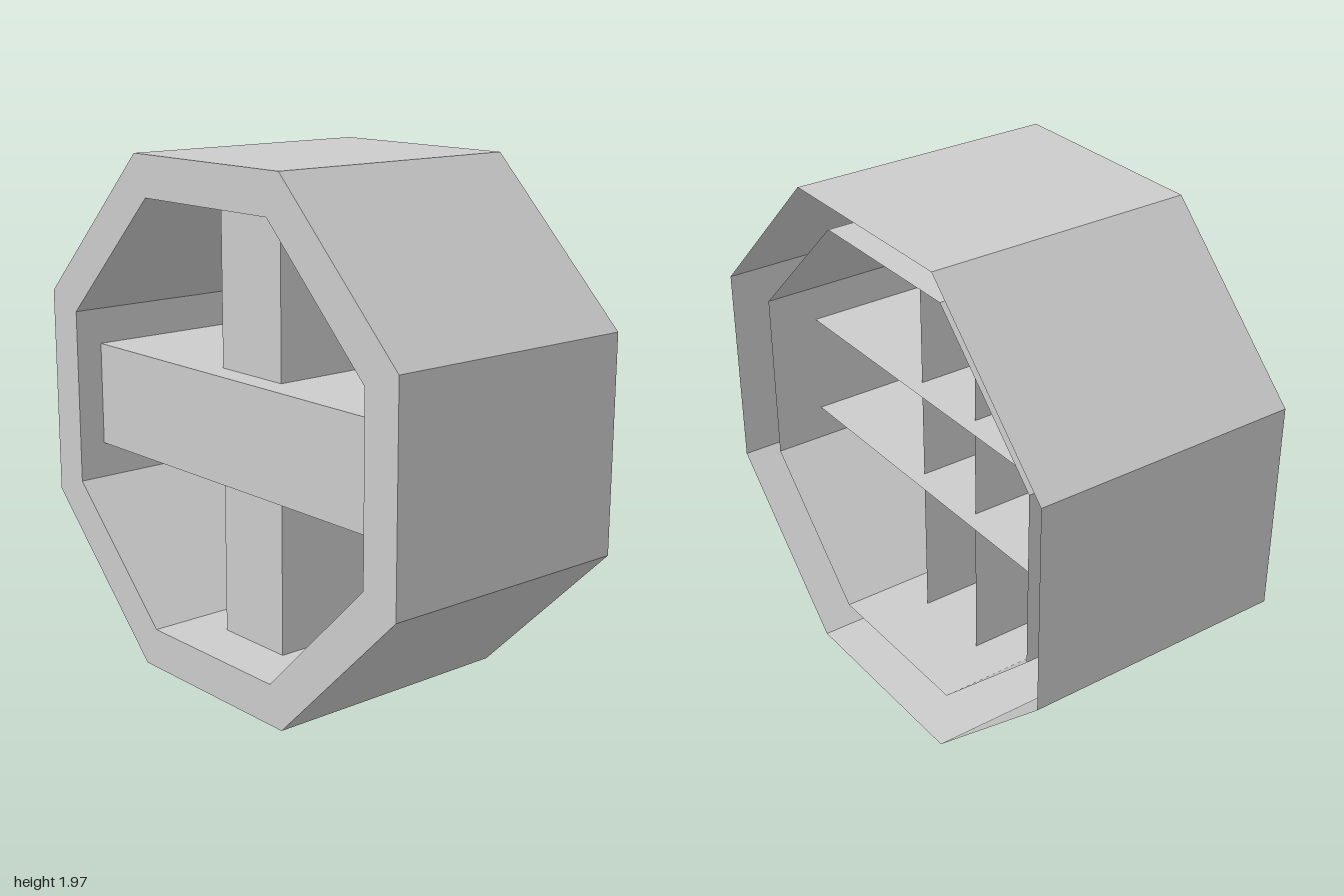
import * as THREE from 'three';

const OUTER = 0.983, INNER = 0.827;   // distance from axis to the flats
const FRONT = 0.513, BACK = -0.513, INNER_BACK = -0.44;

export function createModel() {
  const model = new THREE.Group();
  const material = new THREE.MeshStandardMaterial({
    color: 0xcccccc, flatShading: true, side: THREE.DoubleSide,
  });
  // Slight skew of the whole body in plan, lifted onto the ground
  const skew = new THREE.Matrix4().set(
    1, 0, -0.035, 0,
    0, 1, 0, OUTER,
    0.017, 0, 1, 0,
    0, 0, 0, 1,
  );
  const add = (name, geometry) => {
    geometry.applyMatrix4(skew);
    geometry.computeVertexNormals();
    const mesh = new THREE.Mesh(geometry, material);
    mesh.name = name;
    model.add(mesh);
  };

  const radius = (apothem) => apothem / Math.cos(Math.PI / 8);
  const octagon = (apothem) => Array.from({ length: 8 }, (_, i) => {
    const a = (i + 0.5) * Math.PI / 4;
    return new THREE.Vector2(Math.cos(a), Math.sin(a)).multiplyScalar(radius(apothem));
  });

  // Open octagonal tube along z
  const tube = (apothem, z0, z1) => {
    const r = radius(apothem);
    return new THREE.CylinderGeometry(r, r, z1 - z0, 8, 1, true, Math.PI / 8)
      .rotateX(Math.PI / 2).translate(0, 0, (z0 + z1) / 2).toNonIndexed();
  };

  // Box keeping only the listed sides (0 +x, 1 -x, 2 +y, 3 -y, 4 +z, 5 -z)
  const channel = (w, h, z0, z1, sides) => {
    const box = new THREE.BoxGeometry(w, h, z1 - z0);
    const all = Array.from(box.index.array);
    box.setIndex(sides.flatMap((s) => all.slice(s * 6, s * 6 + 6)));
    box.clearGroups();
    return box.translate(0, 0, (z0 + z1) / 2).toNonIndexed();
  };

  // Hollow frame: outer wall, shorter inner wall, front ring; open at the back
  add('outerWall', tube(OUTER, BACK, FRONT));
  add('innerWall', tube(INNER, INNER_BACK, FRONT));
  const ring = new THREE.Shape(octagon(OUTER));
  ring.holes.push(new THREE.Path(octagon(INNER)));
  add('frontRing', new THREE.ShapeGeometry(ring).translate(0, 0, FRONT));

  // Crossing bars, open at the back and against the inner wall
  add('horizontalBar', channel(2 * INNER, 0.405, -0.24, 0.405, [2, 3, 4]));
  add('verticalBar', channel(0.334, 2 * INNER, -0.18, 0.31, [0, 1, 4]));

  return model;
}
